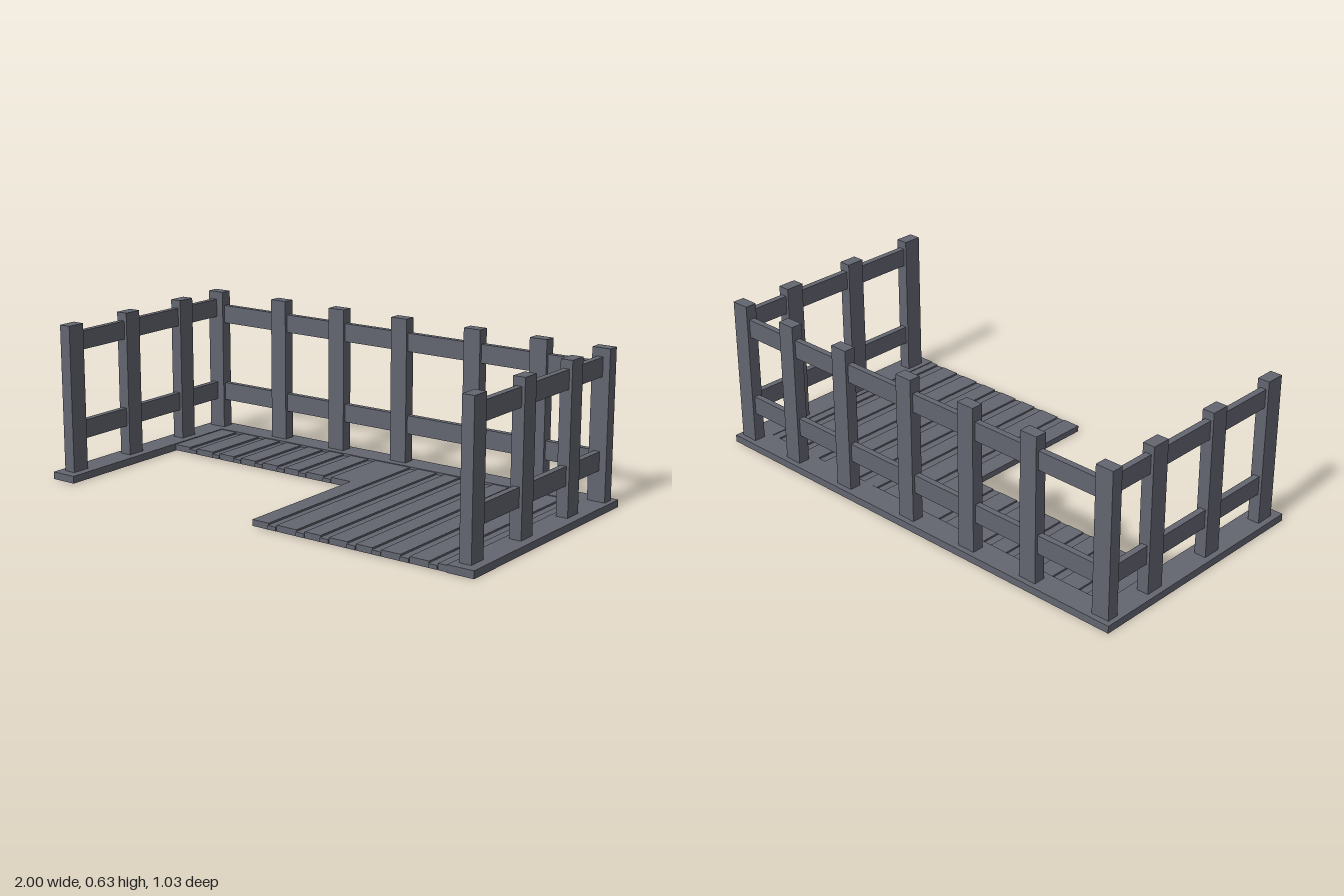
import * as THREE from 'three';

const wood = new THREE.MeshStandardMaterial({ color: 0x636570 });
wood.name = 'greyWood';

// Box given by its minimum and maximum on each axis
function block(parent, name, x0, x1, y0, y1, z0, z1) {
  const mesh = new THREE.Mesh(new THREE.BoxGeometry(x1 - x0, y1 - y0, z1 - z0), wood);
  mesh.name = name;
  mesh.position.set((x0 + x1) / 2, (y0 + y1) / 2, (z0 + z1) / 2);
  parent.add(mesh);
}

// Boards along z, separated by narrow recessed strips centred on the given x values
function deck(name, x0, x1, zFront, joints) {
  const group = new THREE.Group();
  group.name = name;
  const half = 0.019;
  let start = x0;
  for (const x of joints) {
    block(group, 'board', start, x - half, 0.002, 0.027, -0.41, zFront);
    block(group, 'jointStrip', x - half, x + half, 0.004, 0.02, -0.41, zFront + 0.005);
    start = x + half;
  }
  block(group, 'board', start, x1, 0.002, 0.027, -0.41, zFront);
  return group;
}

export function createModel() {
  const model = new THREE.Group();
  model.name = 'fencedDeck';

  // Border beams
  const border = new THREE.Group();
  border.name = 'border';
  block(border, 'backBeam', -1, 1, 0, 0.03, -0.515, -0.41);
  block(border, 'rightBeam', -1, -0.89, 0, 0.03, -0.41, 0.51);
  block(border, 'leftBeam', 0.89, 1, 0, 0.03, -0.41, 0.51);
  model.add(border);

  // L-shaped floor
  model.add(deck('shortDeck', -0.89, 0.03, -0.105, [-0.79, -0.665, -0.55, -0.435, -0.32, -0.21, -0.085]));
  model.add(deck('longDeck', 0.03, 0.89, 0.51, [0.125, 0.255, 0.365, 0.485, 0.595, 0.715, 0.835]));

  // Back fence
  const back = new THREE.Group();
  back.name = 'backFence';
  for (const x of [-0.942, -0.598, -0.293, 0.022, 0.37, 0.67, 0.942])
    block(back, 'post', x - 0.038, x + 0.038, 0.02, 0.63, -0.492, -0.443);
  for (const y of [0.152, 0.495])
    block(back, 'rail', -0.93, 0.93, y, y + 0.076, -0.48, -0.455);
  model.add(back);

  // Side fences
  for (const [name, x] of [['rightFence', -0.95], ['leftFence', 0.938]]) {
    const fence = new THREE.Group();
    fence.name = name;
    for (const z of [-0.23, 0.102, 0.43])
      block(fence, 'post', x - 0.025, x + 0.025, 0.02, 0.63, z - 0.039, z + 0.039);
    for (const y of [0.153, 0.52])
      block(fence, 'rail', x - 0.013, x + 0.013, y, y + 0.076, -0.46, 0.42);
    model.add(fence);
  }
  return model;
}
